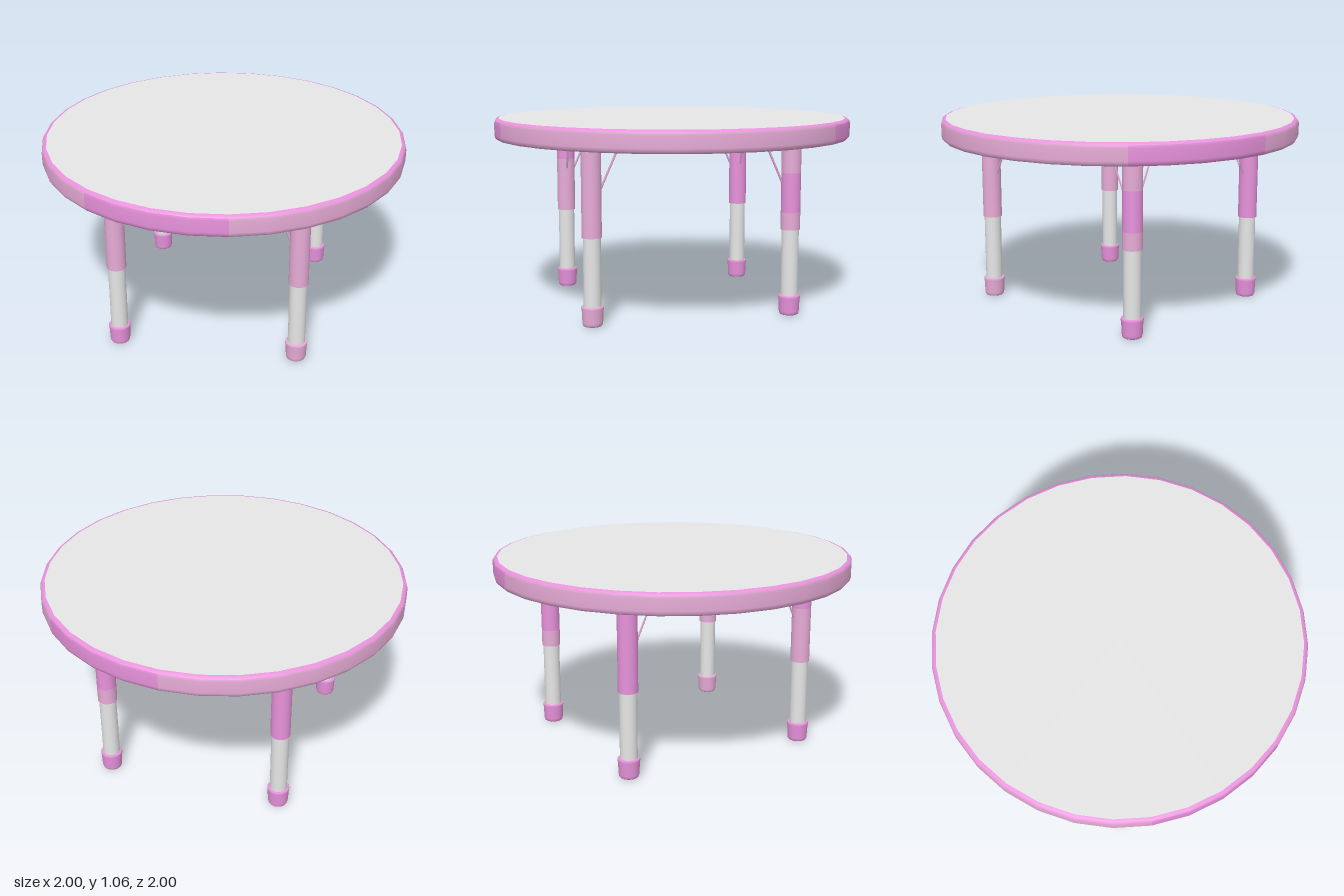
import * as THREE from 'three';

const material = (name, color) => {
  const m = new THREE.MeshStandardMaterial({ color });
  m.name = name;
  return m;
};

export function createModel() {
  const table = new THREE.Group();
  table.name = 'roundTable';
  const grey = material('light grey', 0xe6e6e6);
  const underGrey = material('underside grey', 0xcacaca);
  const pink = material('soft pink', 0xe8acd8);
  const brightPink = material('bright pink', 0xea94de);

  const add = (parent, name, geometry, mat) => {
    const mesh = new THREE.Mesh(geometry, mat);
    mesh.name = name;
    parent.add(mesh);
    return mesh;
  };
  const lathe = (points, segments, start = 0, length = Math.PI * 2) =>
    new THREE.LatheGeometry(points.map(([r, y]) => new THREE.Vector2(r, y)), segments, start, length);

  // Table top: grey surface and underside
  const SIDES = 32, step = Math.PI * 2 / SIDES;
  const disc = (name, radius, y, tilt, mat) => {
    const g = new THREE.CircleGeometry(radius, SIDES).rotateX(tilt);
    add(table, name, g, mat).position.y = y;
  };
  disc('topSurface', 0.975, 1.065, -Math.PI / 2, grey);
  disc('underside', 0.975, 0.948, Math.PI / 2, underGrey);

  // Rounded rim in sectors of [first side, last side, colour], with a bright upper edge
  const rim = [[0.975, 0.948], [0.988, 0.951], [0.996, 0.96], [1, 0.975],
    [1, 1.04], [0.996, 1.053]];
  const upperEdge = [[0.996, 1.053], [0.988, 1.062], [0.975, 1.065]];
  [[-3, 1, brightPink], [1, 12, pink], [12, 16, brightPink], [16, 29, pink]].forEach(([a, b, mat]) =>
    add(table, 'rim', lathe(rim, b - a, a * step, (b - a) * step), mat));
  add(table, 'rimUpperEdge', lathe(upperEdge, SIDES), brightPink);

  // Legs: adjustable tube in a sleeve, with a rubber foot and two braces
  const footProfile = [[0.05, 0.006], [0.053, 0.012], [0.055, 0.022], [0.058, 0.09],
    [0.06, 0.095], [0.06, 0.106], [0.057, 0.11], [0.046, 0.11]];
  const soleProfile = [[0, 0.003], [0.046, 0.003], [0.05, 0.006]];
  const brace = (leg, dx, dz) => {
    const from = new THREE.Vector3(dx * 0.05, 0.73, dz * 0.05);
    const to = new THREE.Vector3(dx * 0.148, 0.95, dz * 0.148);
    add(leg, 'brace', new THREE.TubeGeometry(new THREE.LineCurve3(from, to), 1, 0.006, 4), pink);
  };

  // Each leg: x side, z side, foot colour, sleeve band colours from the bottom up
  const bandHeights = [0.475, 0.57, 0.785, 0.95];
  [
    [1, 1, pink, [pink, pink, pink]],
    [-1, 1, brightPink, [pink, pink, brightPink]],
    [1, -1, brightPink, [pink, brightPink, pink]],
    [-1, -1, brightPink, [brightPink, brightPink, brightPink]],
  ].forEach(([sx, sz, footColour, bands]) => {
    const leg = new THREE.Group();
    leg.name = 'leg';
    leg.position.set(sx * 0.494, 0, sz * 0.545);
    table.add(leg);

    add(leg, 'foot', lathe(footProfile, 24), footColour);
    add(leg, 'sole', lathe(soleProfile, 24), brightPink);
    add(leg, 'tube', new THREE.CylinderGeometry(0.047, 0.047, 0.38, 24, 1, true), grey).position.y = 0.29;

    bands.forEach((mat, i) => {
      const y0 = bandHeights[i], y1 = bandHeights[i + 1];
      const g = new THREE.CylinderGeometry(0.053, 0.053, y1 - y0, 24, 1, true);
      add(leg, 'sleeve', g, mat).position.y = (y0 + y1) / 2;
    });
    const lip = new THREE.RingGeometry(0.046, 0.053, 24).rotateX(Math.PI / 2);
    add(leg, 'sleeveLip', lip, bands[0]).position.y = 0.475;

    brace(leg, -sx, 0);
    brace(leg, 0, -sz);
  });
  return table;
}
